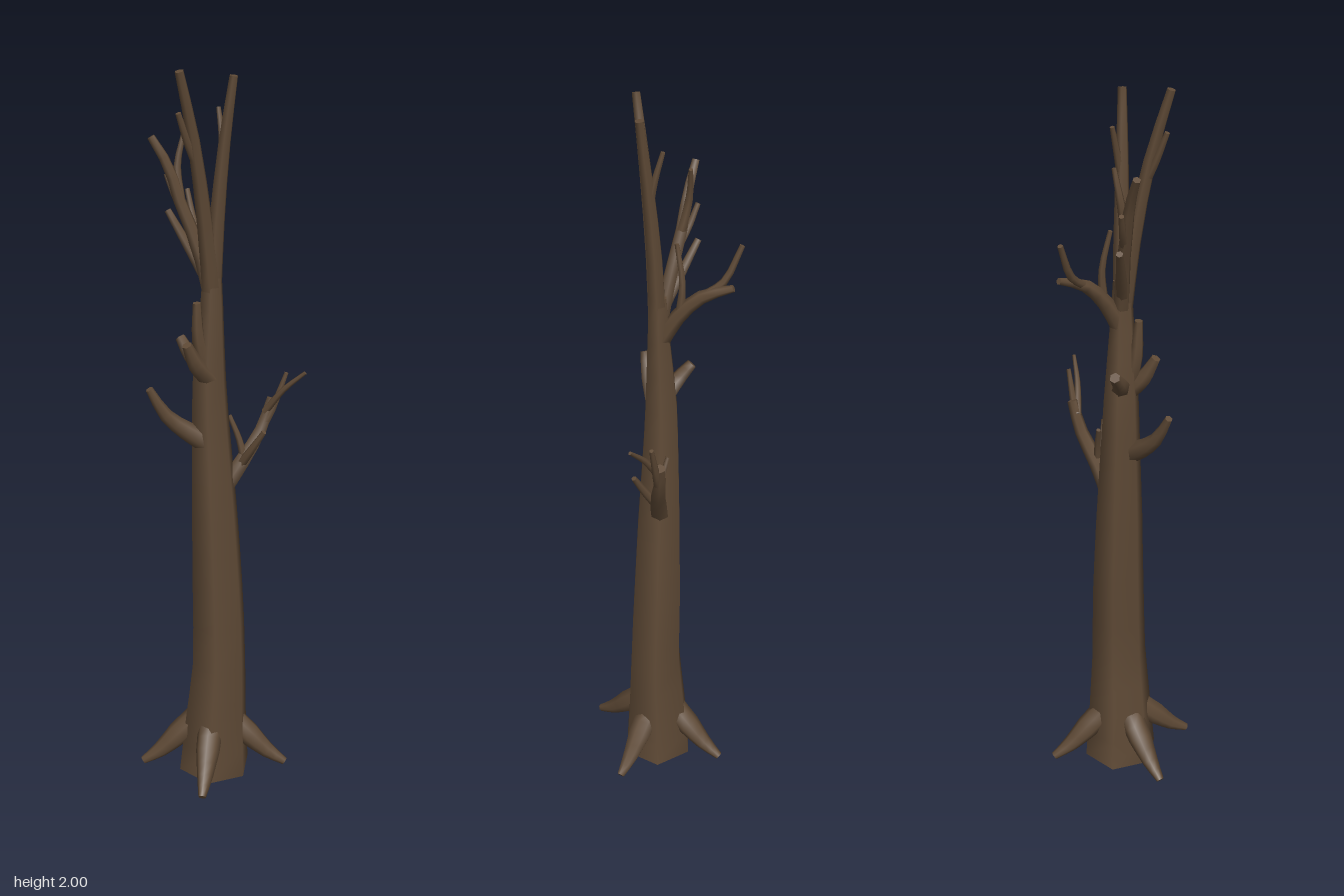
import * as THREE from 'three';

const UP = new THREE.Vector3(0, 1, 0);

// Tapered, capped limb swept through points of [x, y, z, radius]
function limbGeometry(points, sides, steps) {
  const curve = new THREE.CatmullRomCurve3(points.map(p => new THREE.Vector3(p[0], p[1], p[2])));
  const geo = new THREE.CylinderGeometry(1, 1, 1, sides, steps);
  const pos = geo.attributes.position;
  const v = new THREE.Vector3(), q = new THREE.Quaternion();
  const last = points.length - 1;
  for (let i = 0; i < pos.count; i++) {
    v.fromBufferAttribute(pos, i);
    const t = THREE.MathUtils.clamp(v.y + 0.5, 0, 1);
    const k = Math.min(Math.floor(t * last), last - 1);
    const r = THREE.MathUtils.lerp(points[k][3], points[k + 1][3], t * last - k);
    q.setFromUnitVectors(UP, curve.getTangent(t));
    v.set(v.x * r, 0, v.z * r).applyQuaternion(q).add(curve.getPoint(t));
    pos.setXYZ(i, v.x, v.y, v.z);
  }
  geo.computeVertexNormals();
  // Blend the normals across the side seam
  const n = geo.attributes.normal, w = new THREE.Vector3();
  for (let row = 0; row <= steps; row++) {
    const a = row * (sides + 1), b = a + sides;
    v.fromBufferAttribute(n, a).add(w.fromBufferAttribute(n, b)).normalize();
    n.setXYZ(a, v.x, v.y, v.z);
    n.setXYZ(b, v.x, v.y, v.z);
  }
  return geo;
}

export function createModel() {
  const model = new THREE.Group();
  model.name = 'bareTree';
  const bark = new THREE.MeshStandardMaterial({ color: 0x5f4a36 });
  bark.name = 'bark';

  const add = (parent, name, points, sides = 6, steps = 6) => {
    const mesh = new THREE.Mesh(limbGeometry(points, sides, steps), bark);
    mesh.name = name;
    parent.add(mesh);
  };
  const group = name => {
    const g = new THREE.Group();
    g.name = name;
    model.add(g);
    return g;
  };

  // Six-sided trunk
  add(model, 'trunk', [
    [-0.018, 0.005, 0, 0.107], [-0.012, 0.18, 0, 0.093], [-0.003, 0.36, 0, 0.08],
    [-0.008, 0.6, -0.003, 0.074], [-0.016, 0.82, -0.003, 0.066], [-0.024, 1.02, -0.003, 0.056],
    [-0.029, 1.2, -0.002, 0.047], [-0.022, 1.4, 0.002, 0.032], [-0.02, 1.52, 0.003, 0.024],
  ], 6, 16);

  // Four roots: [tip x, tip z]
  const roots = group('roots');
  [[0.19, 0.005], [-0.218, 0.058], [-0.022, 0.207], [-0.027, -0.208]].forEach(([x, z], i) => {
    const at = (f, y, r) => [-0.02 + (x + 0.02) * f, y, z * f, r];
    add(roots, 'root' + (i + 1), [
      at(0.25, 0.165, 0.036), at(0.5, 0.115, 0.034), at(0.75, 0.066, 0.023), at(1, 0.032, 0.011),
    ], 8);
  });

  // Forked limb on the left
  const left = group('leftBranch');
  add(left, 'leftLimb', [
    [0.005, 0.88, -0.02, 0.026], [0.055, 0.96, -0.042, 0.023],
    [0.1, 1.04, -0.073, 0.018], [0.126, 1.125, -0.09, 0.014],
  ]);
  [
    [[0.095, 1.03, -0.07, 0.013], [0.13, 1.1, -0.082, 0.011], [0.165, 1.2, -0.088, 0.006]],
    [[0.11, 1.09, -0.08, 0.011], [0.16, 1.16, -0.065, 0.008], [0.217, 1.213, -0.058, 0.005]],
    [[0.05, 0.95, -0.035, 0.014], [0.08, 1.0, -0.018, 0.011], [0.116, 1.06, -0.006, 0.007]],
    [[0.06, 0.96, -0.04, 0.012], [0.045, 1.02, -0.045, 0.009], [0.018, 1.085, -0.05, 0.006]],
  ].forEach((p, i) => add(left, 'leftTwig' + (i + 1), p));

  // Single limb on the right
  add(model, 'rightBranch', [
    [-0.03, 1.03, 0.015, 0.03], [-0.085, 1.07, 0.035, 0.025],
    [-0.135, 1.12, 0.058, 0.018], [-0.174, 1.197, 0.077, 0.01],
  ]);

  // Broken stubs below the crown
  const stubs = group('stubs');
  [
    [[-0.025, 1.21, 0.015, 0.026], [-0.055, 1.26, 0.05, 0.022], [-0.075, 1.32, 0.075, 0.013]],
    [[-0.03, 1.22, 0.015, 0.022], [-0.052, 1.32, 0.03, 0.018], [-0.055, 1.42, 0.035, 0.011]],
    [[-0.03, 1.22, -0.005, 0.026], [-0.08, 1.26, -0.02, 0.021], [-0.112, 1.3, -0.045, 0.014]],
  ].forEach((p, i) => add(stubs, 'stub' + (i + 1), p));

  // Crown: two tall leaders, a right fork and a back fork
  const crown = group('crown');
  add(crown, 'frontLeader', [
    [-0.02, 1.42, 0.003, 0.026], [-0.035, 1.62, 0.025, 0.021],
    [-0.056, 1.83, 0.06, 0.016], [-0.083, 1.998, 0.1, 0.011],
  ]);
  add(crown, 'leftLeader', [
    [-0.02, 1.42, 0.003, 0.025], [-0.008, 1.62, 0.005, 0.021],
    [0.012, 1.82, 0.013, 0.016], [0.035, 1.98, 0.02, 0.011],
  ]);
  add(crown, 'rightLimb', [
    [-0.025, 1.44, 0, 0.022], [-0.06, 1.56, -0.008, 0.018],
    [-0.105, 1.67, -0.014, 0.016], [-0.13, 1.75, -0.014, 0.014], [-0.174, 1.825, -0.012, 0.01],
  ]);
  add(crown, 'backLimb', [
    [-0.022, 1.39, 0, 0.024], [-0.035, 1.47, -0.045, 0.02],
    [-0.055, 1.53, -0.1, 0.017], [-0.08, 1.562, -0.175, 0.009],
  ]);
  [
    [[-0.05, 1.77, 0.05, 0.012], [-0.07, 1.83, 0.07, 0.01], [-0.088, 1.9, 0.09, 0.007]],
    [[0.008, 1.77, 0.01, 0.012], [0.004, 1.83, -0.002, 0.009], [-0.007, 1.9, -0.018, 0.006]],
    [[-0.1, 1.66, -0.014, 0.013], [-0.112, 1.75, -0.03, 0.01], [-0.097, 1.832, -0.042, 0.006]],
    [[-0.09, 1.63, -0.014, 0.011], [-0.12, 1.68, -0.028, 0.009], [-0.142, 1.73, -0.038, 0.007]],
    [[-0.045, 1.49, -0.004, 0.016], [-0.09, 1.56, -0.022, 0.013], [-0.14, 1.637, -0.042, 0.009]],
    [[-0.055, 1.53, -0.1, 0.012], [-0.085, 1.57, -0.145, 0.01], [-0.112, 1.663, -0.178, 0.007]],
    [[-0.036, 1.48, -0.05, 0.012], [-0.04, 1.56, -0.055, 0.009], [-0.045, 1.66, -0.035, 0.006]],
  ].forEach((p, i) => add(crown, 'crownTwig' + (i + 1), p));

  return model;
}
